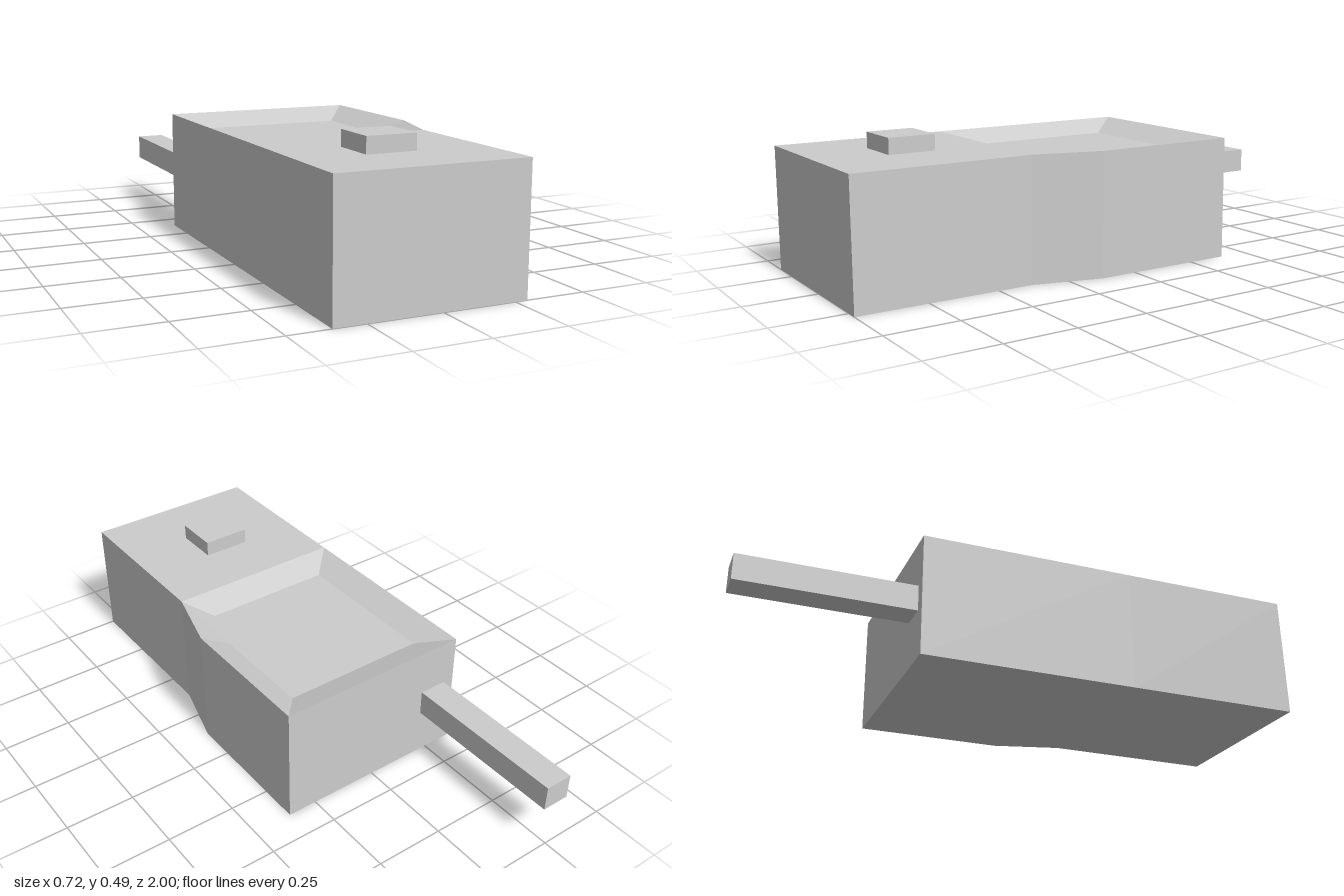
import * as THREE from 'three';

const TOP = 0.436;      // deck height
const FLOOR = 0.39;     // floor of the sunken tray

// Flat polygons, each fanned from its first corner, counter-clockwise from outside.
function polygons(faces) {
  const positions = [];
  for (const f of faces) {
    for (let i = 1; i < f.length - 1; i++) positions.push(...f[0], ...f[i], ...f[i + 1]);
  }
  const g = new THREE.BufferGeometry();
  g.setAttribute('position', new THREE.Float32BufferAttribute(positions, 3));
  g.computeVertexNormals();
  return g;
}

// Quads joining two matching closed loops.
function band(lower, upper) {
  return lower.map((p, i) => {
    const j = (i + 1) % lower.length;
    return [p, lower[j], upper[j], upper[i]];
  });
}

const at = (outline, y) => outline.map(([x, z]) => [x, y, z]);

export function createModel() {
  const group = new THREE.Group();
  const grey = new THREE.MeshStandardMaterial({ color: 0xcccccc });
  grey.name = 'light grey';

  const add = (name, geometry) => {
    const mesh = new THREE.Mesh(geometry, grey);
    mesh.name = name;
    group.add(mesh);
    return mesh;
  };
  const block = (name, [x0, x1], [y0, y1], [z0, z1]) =>
    add(name, new THREE.BoxGeometry(x1 - x0, y1 - y0, z1 - z0))
      .position.set((x0 + x1) / 2, (y0 + y1) / 2, (z0 + z1) / 2);

  // Plan outlines: narrow front deck, then the wider rear with its tray
  const deck = [[-0.359, 1], [0.293, 1]];
  const rear = [[-0.359, 0.375], [0.293, 0.375], [0.358, 0.135], [0.358, -0.393], [-0.359, -0.393]];
  const tray = [[-0.265, 0.283], [0.211, 0.283], [0.261, 0.108], [0.261, -0.278], [-0.265, -0.278]];
  const outline = [rear[0], ...deck, ...rear.slice(1)];

  // Outer walls and underside (fanned from the left waist corner)
  const base = at(outline, 0);
  const underside = [base[0], ...base.slice(1).reverse()];
  add('bodyShell', polygons([...band(base, at(outline, TOP)), underside]));

  // Flat front deck
  add('frontDeck', polygons([at([...deck, rear[1], rear[0]], TOP)]));

  // Sunken tray with sloping sides
  add('traySlopes', polygons(band(at(rear, TOP), at(tray, FLOOR))));
  add('trayFloor', polygons([at(tray, FLOOR)]));

  // Raised button on the deck and rod out of the back
  block('button', [-0.132, 0.042], [TOP, 0.492], [0.594, 0.76]);
  block('rearRod', [-0.317, -0.215], [0.174, 0.266], [-1, -0.393]);

  return group;
}
